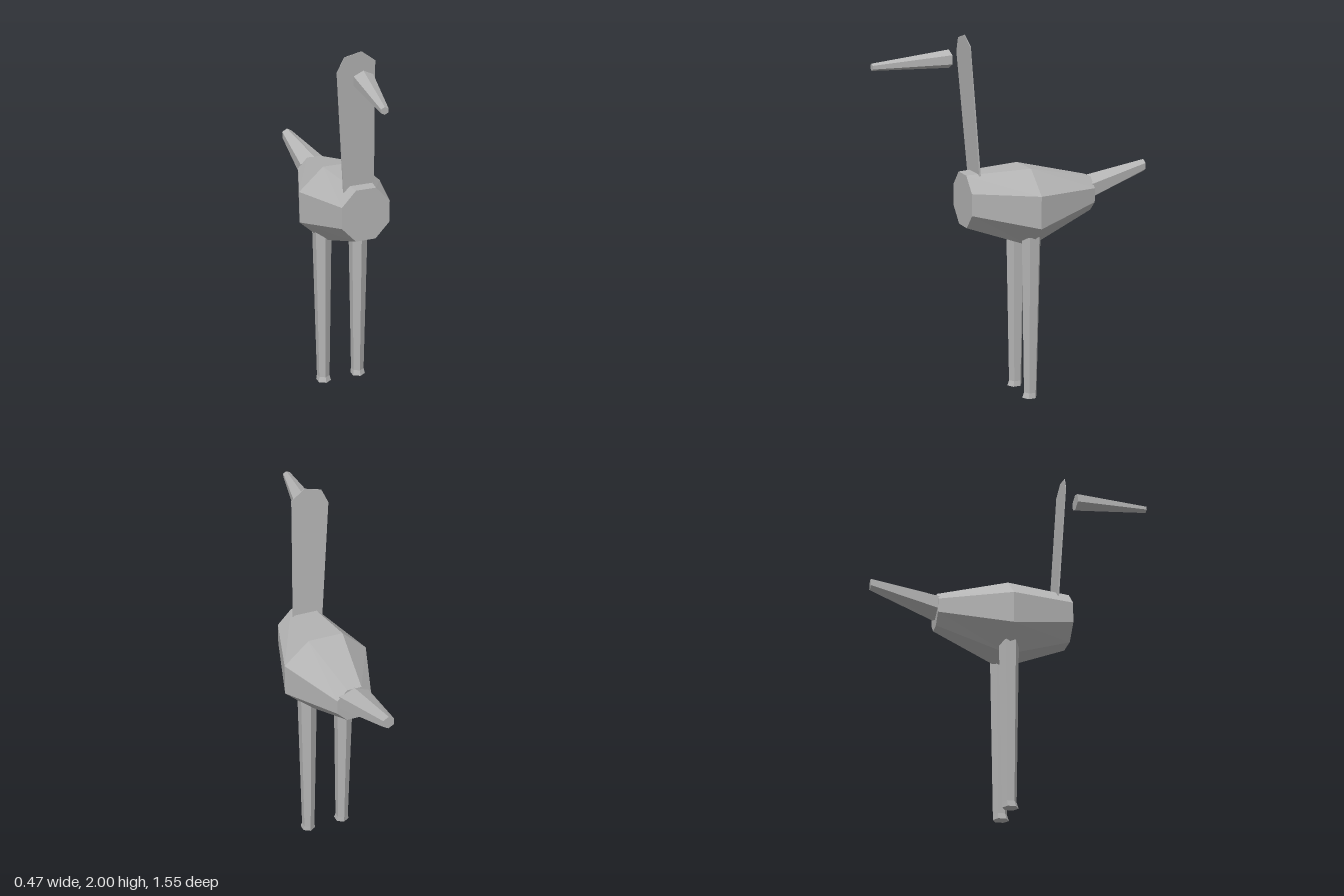
import * as THREE from 'three';

// Closed faceted loft along +z. Each ring is [x, y, z, rx, ry].
function loft(rings, sides, phase) {
  const pos = [];
  const point = ([x, y, z, rx, ry], j) => {
    const a = phase + (j / sides) * Math.PI * 2;
    return [x + rx * Math.cos(a), y + ry * Math.sin(a), z];
  };
  const first = rings[0], last = rings[rings.length - 1];
  for (let j = 0; j < sides; j++) {
    for (let i = 0; i < rings.length - 1; i++) {
      const a = point(rings[i], j), b = point(rings[i], j + 1);
      const c = point(rings[i + 1], j + 1), d = point(rings[i + 1], j);
      pos.push(...a, ...b, ...c, ...a, ...c, ...d);
    }
    // end caps
    pos.push(...first.slice(0, 3), ...point(first, j + 1), ...point(first, j));
    pos.push(...last.slice(0, 3), ...point(last, j), ...point(last, j + 1));
  }
  const g = new THREE.BufferGeometry();
  g.setAttribute('position', new THREE.Float32BufferAttribute(pos, 3));
  g.computeVertexNormals();
  return g;
}

export function createModel() {
  const model = new THREE.Group();
  model.name = 'longLeggedBird';
  const grey = new THREE.MeshStandardMaterial({ color: 0xb4b4b4, flatShading: true });
  grey.name = 'plain grey';

  const add = (name, geometry) => {
    const mesh = new THREE.Mesh(geometry, grey);
    mesh.name = name;
    model.add(mesh);
    return mesh;
  };

  // Body: flat-sided octagons, widest in the middle
  const k = 1 / Math.cos(Math.PI / 8);
  add('body', loft([
    [0, 1.105, -0.415, 0.095 * k, 0.094 * k],
    [0, 1.072, -0.033, 0.235 * k, 0.213 * k],
    [0, 1.127, 0.322, 0.135 * k, 0.143 * k],
  ], 8, Math.PI / 8));

  // Tail and beak: hexagonal tapers with a ridge on top
  add('tail', loft([
    [-0.025, 1.22, -0.775, 0.034, 0.035],
    [0, 1.13, -0.408, 0.095, 0.072],
  ], 6, Math.PI / 2));
  add('beak', loft([
    [-0.042, 1.877, 0.375, 0.061, 0.048],
    [-0.105, 1.846, 0.775, 0.023, 0.019],
  ], 6, Math.PI / 2));

  // Neck and head: one thin slab leaning forward
  const outline = new THREE.Shape([
    [-0.097, 1.235], [0.077, 1.235], [0.073, 1.28], [0.058, 1.89], [0.058, 1.945],
    [-0.018, 2.0], [-0.112, 1.978], [-0.15, 1.9],
  ].map(([x, y]) => new THREE.Vector2(x, y)));
  const neck = new THREE.ExtrudeGeometry(outline, { depth: 0.01, bevelEnabled: false });
  const p = neck.attributes.position;
  for (let i = 0; i < p.count; i++) {
    const t = (p.getY(i) - 1.26) / 0.74;
    const thin = 1 - 0.7 * t; // tapers towards the crown
    p.setZ(i, 0.246 + 0.048 * t + p.getZ(i) * thin);
  }
  neck.computeVertexNormals();
  add('neckAndHead', neck);

  // Legs: hexagonal columns with slightly flared feet
  for (const [name, side] of [['leftLeg', 1], ['rightLeg', -1]]) {
    const leg = loft([
      [side * 0.105, 0.022, 0, 0.042, 0.043],
      [side * 0.105, 0.027, 0.03, 0.036, 0.038],
      [side * 0.107, 0.03, 0.92, 0.053, 0.055],
    ], 6, Math.PI / 2);
    leg.rotateX(-Math.PI / 2);
    add(name, leg);
  }
  return model;
}
